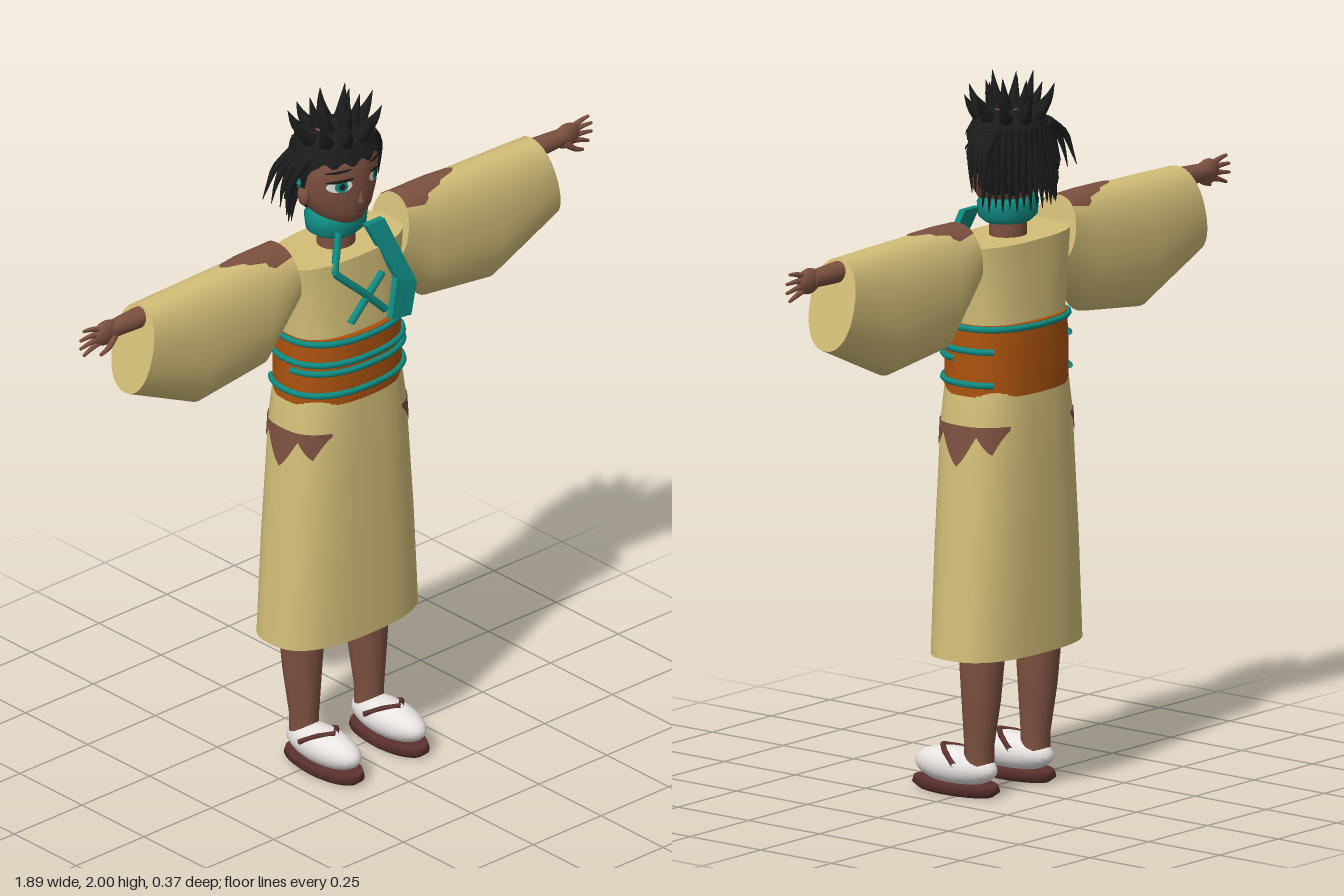
import * as THREE from 'three';

const V = (x, y, z) => new THREE.Vector3(x, y, z);
const mat = (name, color) => {
  const m = new THREE.MeshStandardMaterial({ color, side: THREE.DoubleSide });
  m.name = name;
  return m;
};

// A ring is an oval section: centre c, half axes u and v (u x v points along the loft).
const ring = (c, u, v) => ({ c, u, v });
const level = (y, rx, rz, z, x = 0) => ring(V(x, y, z), V(0, 0, rz), V(rx, 0, 0));
const pow = (v, e) => Math.sign(v) * Math.abs(v) ** e;

// Point on a loft at ring parameter t and angle a; k swells the section.
function pointOn(rings, t, a, e = 1, k = 1) {
  const i = Math.min(Math.floor(t), rings.length - 2), f = t - i;
  const at = (r) => r.c.clone().addScaledVector(r.u, k * pow(Math.cos(a), e)).addScaledVector(r.v, k * pow(Math.sin(a), e));
  return at(rings[i]).lerp(at(rings[i + 1]), f);
}

// Grid surface from a rule f(row, column).
function grid(rows, cols, f, caps = false, closed = false) {
  const p = [], idx = [];
  for (let i = 0; i <= rows; i++) for (let j = 0; j <= cols; j++) p.push(...f(i / rows, j / cols).toArray());
  const w = cols + 1;
  for (let i = 0; i < rows; i++) for (let j = 0; j < cols; j++) {
    const a = i * w + j, b = a + 1;
    idx.push(a, b, b + w, a, b + w, a + w);
  }
  if (caps) for (const end of [0, 1]) {
    const start = p.length / 3, mid = V(0, 0, 0);
    for (let j = 0; j <= cols; j++) {
      const q = f(end, j / cols);
      p.push(...q.toArray());
      if (j < cols) mid.addScaledVector(q, 1 / cols);
    }
    p.push(...mid.toArray());
    for (let j = 0; j < cols; j++) idx.push(start + w, start + j + (end ? 0 : 1), start + j + (end ? 1 : 0));
  }
  const g = new THREE.BufferGeometry();
  g.setAttribute('position', new THREE.Float32BufferAttribute(p, 3));
  g.setIndex(idx);
  g.computeVertexNormals();
  if (closed) { // blend the normals along the seam
    const n = g.attributes.normal;
    for (let i = 0; i <= rows; i++) {
      const a = V(0, 0, 0).fromBufferAttribute(n, i * w).add(V(0, 0, 0).fromBufferAttribute(n, i * w + cols)).normalize();
      for (const k of [i * w, i * w + cols]) n.setXYZ(k, a.x, a.y, a.z);
    }
  }
  return g;
}
const loft = (rings, caps = true, e = 1, n = 32) =>
  grid(rings.length - 1, n, (r, c) => pointOn(rings, r * (rings.length - 1), c * Math.PI * 2, e), caps, true);
// Thin patch on a loft between angles a0..a1 and parameters lo(a)..hi(a).
const patch = (rings, a0, a1, lo, hi, k, e = 1, rows = 12, cols = 48) => grid(rows, cols, (r, c) => {
  const a = a0 + (a1 - a0) * c;
  return pointOn(rings, lo(a, c) + (hi(a, c) - lo(a, c)) * r, a, e, k);
});
// Tapered strand along a curve; radius follows rad(t).
function strand(points, rad, steps = 6, sides = 7) {
  const curve = new THREE.CatmullRomCurve3(points), fr = curve.computeFrenetFrames(steps);
  const rings = fr.normals.map((n, i) => {
    const r = rad(i / steps);
    return ring(curve.getPointAt(i / steps), n.clone().multiplyScalar(r), fr.binormals[i].clone().multiplyScalar(r));
  });
  return loft(rings, true, 1, sides);
}
const tube = (pts, r, steps = 40) => new THREE.TubeGeometry(new THREE.CatmullRomCurve3(pts, false, 'catmullrom', 0.1), steps, r, 7);
const zigzag = (c, n) => Math.abs(((c * n) % 1) * 2 - 1);

export function createModel() {
  const root = new THREE.Group();
  const cloth = mat('straw cloth', 0xd3be78), skin = mat('brown skin', 0x7d5140), teal = mat('teal', 0x0f8b82);
  const orange = mat('burnt orange', 0xaa520e), hair = mat('black hair', 0x1b1b1c), white = mat('white', 0xe8e4e2);
  const sole = mat('dark sole', 0x5c3230);
  const add = (name, geo, m) => {
    const o = new THREE.Mesh(geo, m);
    o.name = name;
    root.add(o);
    return o;
  };

  // Robe: skirt, bodice and worn holes at the hips
  const skirt = [level(0.4, 0.25, 0.14, -0.04), level(0.7, 0.232, 0.139, -0.04), level(0.93, 0.213, 0.137, -0.04),
    level(1.05, 0.203, 0.136, -0.04), level(1.16, 0.186, 0.13, -0.04)];
  add('skirt', loft(skirt, false, 0.78, 48), cloth);
  add('bodice', loft([level(1.14, 0.182, 0.125, -0.04), level(1.34, 0.183, 0.118, -0.042), level(1.55, 0.212, 0.108, -0.045)], true, 0.78, 48), cloth);
  for (const s of [1, -1]) {
    const mid = s * Math.PI / 2;
    add('hipHole', patch(skirt, mid - 1, mid + 1, (a, c) => 3 - (0.25 + 0.7 * (1 - zigzag(c, 3))) * (0.35 + 0.65 * Math.sin(c * Math.PI)),
      () => 3, 1.015, 0.78, 2), skin);
  }

  // Sash and cords
  const sash = [level(1.13, 0.192, 0.135, -0.04), level(1.23, 0.19, 0.137, -0.04), level(1.33, 0.184, 0.135, -0.04)];
  add('sash', loft(sash, true, 0.85, 48), orange);
  for (const [y, half] of [[1.32, 3.14], [1.258, 2.2], [1.232, 1.45], [1.165, 2.2]]) {
    const pts = [];
    for (let i = 0; i <= 40; i++) pts.push(pointOn(sash, (y - 1.13) * 10, -half + half * i / 20, 0.85, 1.02));
    add('sashCord', tube(pts, 0.009, 80), teal);
  }

  // Scarf, hanging tail and crossed chest cord
  add('neck', loft([level(1.52, 0.055, 0.05, -0.045), level(1.68, 0.055, 0.05, -0.045)]), skin);
  add('scarf', loft([level(1.59, 0.07, 0.06, -0.045), level(1.605, 0.09, 0.074, -0.045), level(1.645, 0.095, 0.078, -0.045), level(1.66, 0.08, 0.066, -0.045)]), teal);
  const tail = new THREE.Shape([[0.03, 1.62], [0.07, 1.34], [0.15, 1.33], [0.167, 1.42], [0.095, 1.62]].map(([x, y]) => new THREE.Vector2(x, y)));
  tail.curves.length = 0;
  tail.setFromPoints([[0.03, 1.62], [0.103, 1.45], [0.075, 1.335], [0.147, 1.325], [0.168, 1.42], [0.095, 1.62]].map(([x, y]) => new THREE.Vector2(x, y)));
  const tailGeo = new THREE.ExtrudeGeometry(tail, { depth: 0.02, bevelEnabled: false });
  const tp = tailGeo.attributes.position;
  for (let i = 0; i < tp.count; i++) tp.setZ(i, tp.getZ(i) + 0.028 + Math.min(0.05, (1.62 - tp.getY(i)) * 0.25));
  tailGeo.computeVertexNormals();
  add('scarfTail', tailGeo, teal);
  add('chestCord', tube([V(-0.055, 1.62, 0.025), V(-0.1, 1.525, 0.06), V(-0.02, 1.45, 0.078), V(0.06, 1.37, 0.088)], 0.011), teal);
  add('chestCord', tube([V(0.065, 1.475, 0.07), V(-0.065, 1.37, 0.085)], 0.011), teal);

  for (const s of [1, -1]) {
    // Sleeve with a worn shoulder, given by its upper and lower edges
    const sl = [[0.215, 1.618, 0.182, 1.43, 0.075], [0.3, 1.62, 0.3, 1.28, 0.083], [0.54, 1.615, 0.54, 1.25, 0.086], [0.72, 1.61, 0.78, 1.36, 0.078]]
      .map(([tx, ty, bx, by, hz]) => ring(V(s * (tx + bx) / 2, (ty + by) / 2, -0.045), V(s * (tx - bx) / 2, (ty - by) / 2, 0), V(0, 0, s * hz)));
    add('sleeve', loft(sl, true, 0.9, 36), cloth);
    add('shoulderHole', patch(sl, -0.75, 0.75, () => 0, (a, c) => 1.62 - 1.1 * Math.abs(a) - 0.08 * zigzag(c, 6), 1.02, 0.9, 20, 36), skin);

    // Arm, palm and fingers
    add('forearm', strand([V(s * 0.6, 1.575, -0.045), V(s * 0.84, 1.572, -0.045)], (t) => 0.036 - 0.012 * t, 4, 16), skin);
    const palm = new THREE.SphereGeometry(1, 16, 12).scale(0.045, 0.036, 0.02).translate(s * 0.85, 1.57, -0.045);
    add('palm', palm, skin);
    for (let i = 0; i < 4; i++) {
      const d = i - 1.5;
      add('finger', strand([V(s * 0.87, 1.568 + d * 0.013, -0.045), V(s * 0.905, 1.568 + d * 0.02, -0.045),
        V(s * (0.945 - 0.006 * d * d), 1.564 + d * 0.025, -0.045)], (t) => 0.0095 - 0.005 * t), skin);
    }
    add('thumb', strand([V(s * 0.83, 1.56, -0.03), V(s * 0.86, 1.535, -0.022), V(s * 0.89, 1.523, -0.022)], (t) => 0.011 - 0.006 * t), skin);

    // Leg, sock and sandal
    const x = s * 0.12;
    add('leg', loft([level(0.08, 0.04, 0.042, -0.043, x), level(0.14, 0.04, 0.042, -0.043, x), level(0.27, 0.053, 0.055, -0.05, x),
      level(0.4, 0.065, 0.063, -0.053, x), level(0.8, 0.07, 0.068, -0.05, x)]), skin);
    add('sock', new THREE.SphereGeometry(1, 24, 16).scale(0.06, 0.053, 0.138).translate(x, 0.074, 0.038), white);
    add('sandalSole', loft([level(0, 0.052, 0.125, 0.04, x), level(0.015, 0.068, 0.145, 0.039, x), level(0.032, 0.064, 0.14, 0.039, x)]), sole);
    for (const k of [1, -1])
      add('sandalStrap', tube([V(x, 0.126, 0.085), V(x + k * 0.035, 0.117, 0.05), V(x + k * 0.058, 0.088, 0)], 0.008), sole);
  }

  // Head
  const head = [[1.625, 0.025, 0.035, -0.02], [1.645, 0.06, 0.065, -0.026], [1.68, 0.094, 0.088, -0.036], [1.73, 0.117, 0.098, -0.043],
    [1.79, 0.125, 0.102, -0.046], [1.84, 0.12, 0.1, -0.048], [1.88, 0.1, 0.082, -0.05], [1.91, 0.06, 0.05, -0.05], [1.92, 0.002, 0.002, -0.05]]
    .map(([y, rx, rz, z]) => level(y, rx, rz, z));
  add('head', loft(head), skin);
  const tAt = (y) => {
    let i = 0;
    while (i < head.length - 2 && head[i + 1].c.y < y) i++;
    return i + (y - head[i].c.y) / (head[i + 1].c.y - head[i].c.y);
  };
  // Oval plate laid on the face
  const plate = (name, x, y, w, h, lift, m, tilt = 0) => {
    const g = new THREE.RingGeometry(0, 1, 20, 4).scale(w, h, 1).rotateZ(tilt).translate(x, y, 0), p = g.attributes.position;
    for (let i = 0; i < p.count; i++) {
      const t = tAt(p.getY(i)), rx = pointOn(head, t, Math.PI / 2).x;
      p.setZ(i, pointOn(head, t, Math.asin(Math.min(0.99, Math.max(-0.99, p.getX(i) / rx)))).z + lift);
    }
    g.computeVertexNormals();
    add(name, g, m);
  };
  for (const s of [1, -1]) {
    plate('eyeWhite', s * 0.064, 1.772, 0.033, 0.019, 0.003, white);
    plate('iris', s * 0.062, 1.772, 0.017, 0.018, 0.005, teal);
    plate('pupil', s * 0.062, 1.772, 0.008, 0.01, 0.007, hair);
    plate('upperLid', s * 0.065, 1.79, 0.036, 0.005, 0.008, hair, -s * 0.08);
    plate('eyebrow', s * 0.066, 1.816, 0.034, 0.004, 0.004, hair, -s * 0.1);
    add('ear', new THREE.SphereGeometry(1, 12, 10).scale(0.014, 0.03, 0.02).translate(s * 0.124, 1.735, -0.04), skin);
    add('earring', new THREE.OctahedronGeometry(1).scale(0.008, 0.02, 0.01).translate(s * 0.142, 1.78, -0.04), teal);
  }
  plate('mouth', 0, 1.683, 0.018, 0.003, 0.004, sole);
  add('nose', new THREE.ConeGeometry(0.01, 0.035, 8).translate(0, 1.728, 0.056), skin);

  // Hair: cap, crown of spikes, side locks and layered back strands
  const hairline = (a) => {
    const f = THREE.MathUtils.smoothstep(Math.abs(a), 1.1, 1.75);
    return tAt(1.835 - 0.155 * f + 0.008 * Math.cos(a * 14));
  };
  add('hairCap', patch(head, -Math.PI, Math.PI, hairline, () => head.length - 1, 1.08, 1, 14, 72), hair);
  const spikeRing = (n, r0, r1, top, off) => {
    for (let i = 0; i < n; i++) {
      const a = (i + off) / n * Math.PI * 2, sx = Math.sin(a), cz = Math.cos(a), y = top - 0.012 * (i % 2);
      add('hairSpike', strand([V(sx * r0, 1.875, -0.05 + cz * r0 * 0.85), V(sx * (r0 + r1) * 0.54, (1.875 + y) / 2, -0.05 + cz * (r0 + r1) * 0.46),
        V(sx * r1, y, -0.05 + cz * r1 * 0.8)], (t) => 0.027 * (1 - t) + 0.0005), hair);
    }
  };
  spikeRing(10, 0.075, 0.14, 1.962, 0.5);
  spikeRing(6, 0.035, 0.075, 2.0, 0);
  for (const s of [1, -1]) for (let i = 0; i < 4; i++)
    add('sideLock', strand([V(s * 0.115, 1.85, -0.03 - i * 0.02), V(s * (0.15 + i * 0.006), 1.81, -0.04 - i * 0.022),
      V(s * (0.165 + i * 0.007), 1.76, -0.05 - i * 0.022), V(s * (0.165 + i * 0.012), 1.695 + i * 0.008, -0.055 - i * 0.022)],
    (t) => 0.016 * (1 - t) + 0.001, 8), hair);
  for (let layer = 0; layer < 3; layer++) for (let i = 0; i <= 18; i++) {
    const a = Math.PI * (0.56 + 0.88 * i / 18), y = 1.86 - layer * 0.05, out = (r, h) => V(Math.sin(a) * r, h, -0.05 + Math.cos(a) * r * 0.82);
    add('backStrand', strand([out(0.118, y), out(0.135, y - 0.05), out(0.143 + 0.006 * (2 - layer), y - 0.11 - 0.01 * (i % 2))],
      (t) => 0.014 * (1 - t) + 0.001, 5, 6), hair);
  }
  return root;
}
